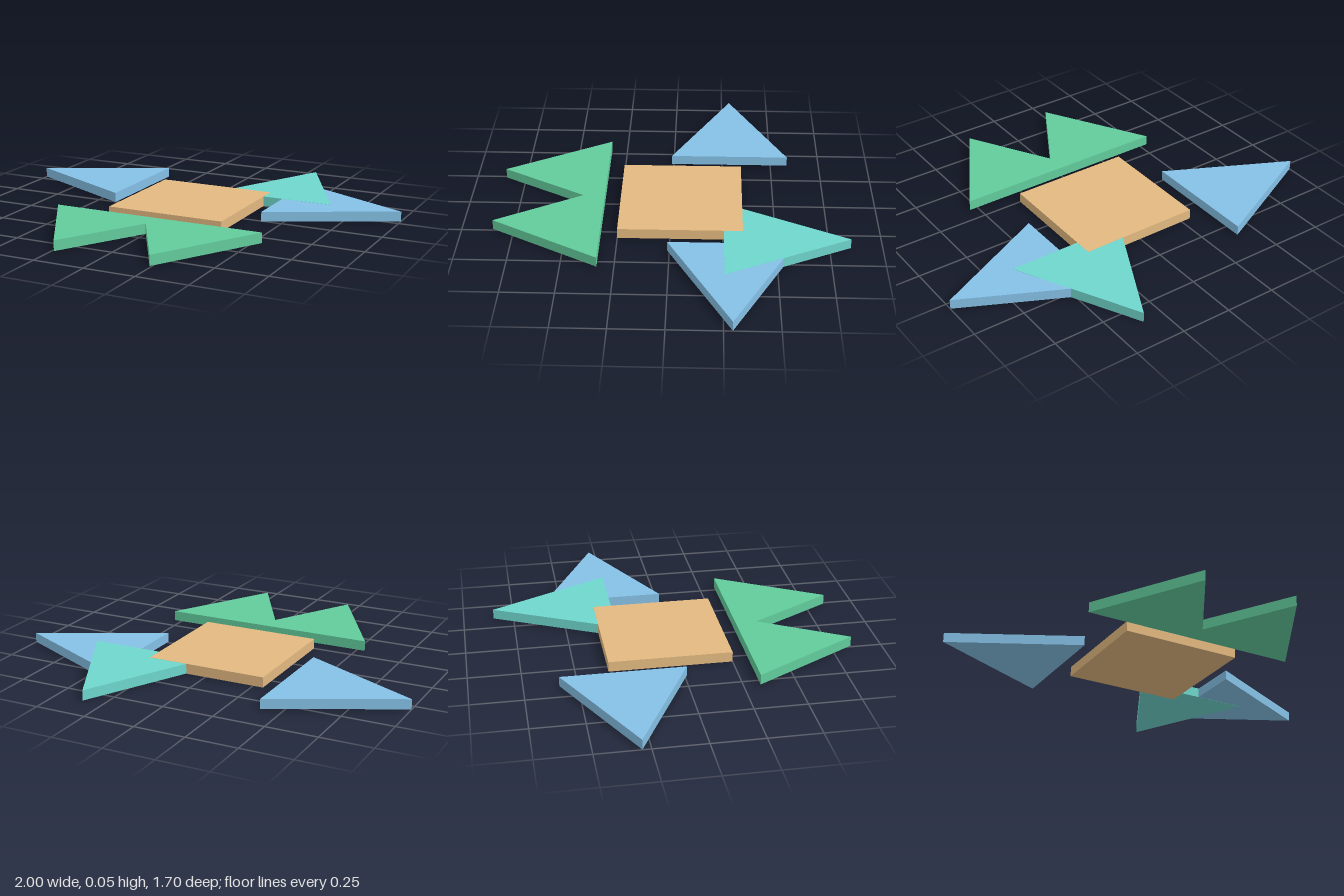
import * as THREE from 'three';

const THICKNESS = 0.05;

// Flat tile from an outline of [x, z] corners; inset keeps overlapping faces from coinciding
function tile(name, color, outline, inset = 0) {
  const shape = new THREE.Shape(outline.map(([x, z]) => new THREE.Vector2(x, -z)));
  const geometry = new THREE.ExtrudeGeometry(shape, {
    depth: THICKNESS - 2 * inset,
    bevelEnabled: false,
  });
  geometry.rotateX(-Math.PI / 2);
  geometry.translate(0, inset, 0);
  const mesh = new THREE.Mesh(geometry, new THREE.MeshStandardMaterial({ color, flatShading: true }));
  mesh.name = name;
  return mesh;
}

export function createModel() {
  const group = new THREE.Group();
  group.name = 'tileFigure';

  // Square body
  group.add(tile('body', 0xe3b980, [[-0.3, -0.345], [-0.3, 0.25], [0.3, 0.25], [0.3, -0.345]]));

  // Side triangles pointing outward
  for (const [side, s] of [['left', 1], ['right', -1]]) {
    group.add(tile(`${side}SideTriangle`, 0x85c1e6, [
      [s * 1.0, -0.29], [s * 0.4, -0.585], [s * 0.4, 0.01],
    ], 0.001));
  }

  // Rear triangle, tucked into the body and the left side triangle
  group.add(tile('rearTriangle', 0x6ed6cc, [[0.355, -0.85], [0.057, -0.255], [0.655, -0.255]], 0.0005));

  // Two front triangles joined along their base into one notched tile
  group.add(tile('frontTriangles', 0x62cc9c, [
    [-0.54, 0.33], [-0.24, 0.85], [0, 0.435], [0.24, 0.85], [0.54, 0.33],
  ]));

  return group;
}
